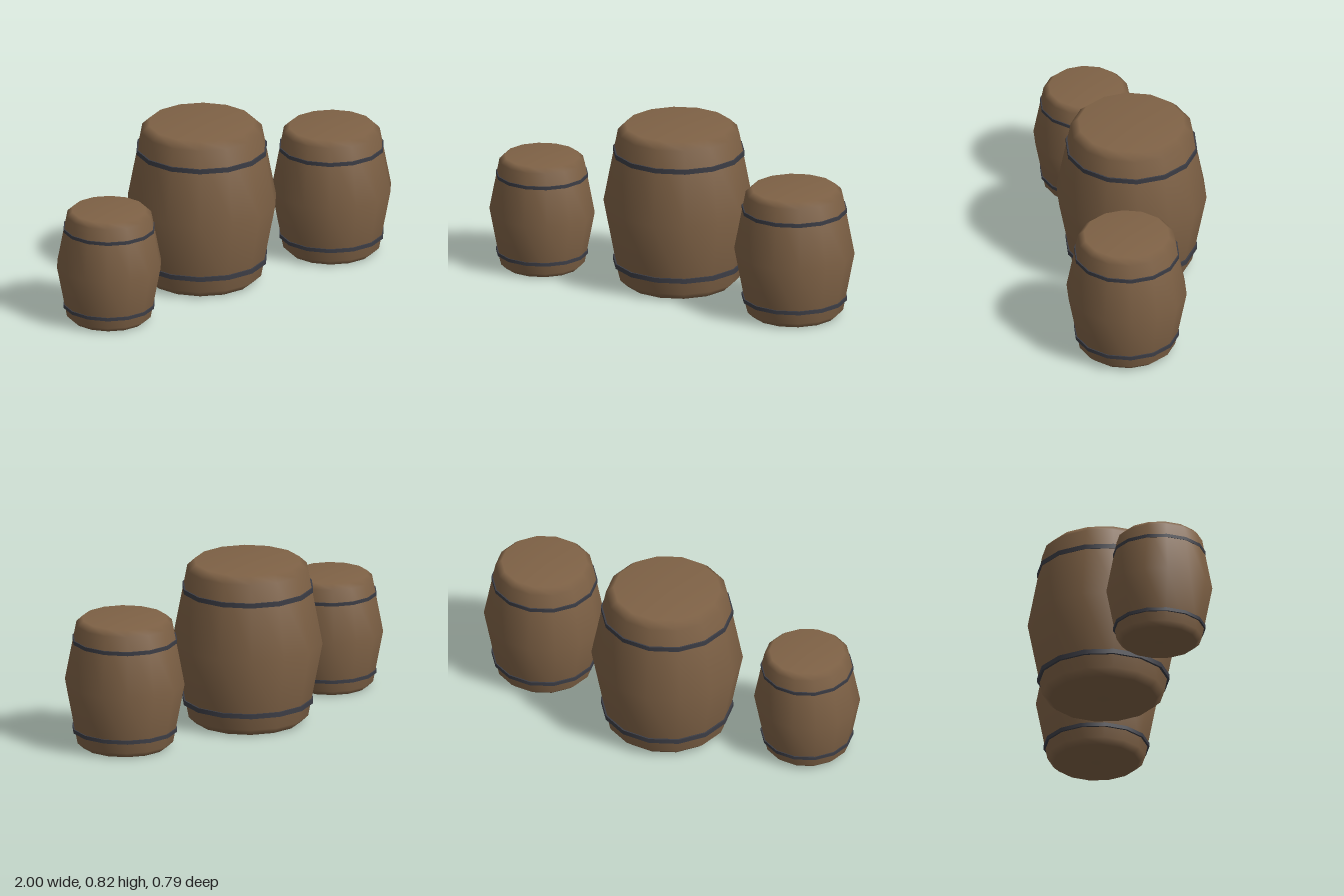
import * as THREE from 'three';

const SIDES = 14;
const HEIGHT = 0.82;

export function createModel() {
  const wood = new THREE.MeshStandardMaterial({ color: 0x7f6246 });
  wood.name = 'brown wood';
  const iron = new THREE.MeshStandardMaterial({ color: 0x3c3d45 });
  iron.name = 'dark iron';

  // Closed barrel profile, from the bottom centre to the top centre
  const profile = [
    [0, 0], [0.265, 0], [0.303, 0.035], [0.375, HEIGHT / 2],
    [0.303, HEIGHT - 0.035], [0.265, HEIGHT], [0, HEIGHT],
  ].map(([r, y]) => new THREE.Vector2(r, y));
  const bodyGeometry = new THREE.LatheGeometry(profile, SIDES, Math.PI / 2);
  const hoopGeometry = new THREE.CylinderGeometry(0.328, 0.328, 0.024, SIDES, 1, false, Math.PI / 2);

  function barrel(name, x, z, scale) {
    const group = new THREE.Group();
    group.name = name;
    const body = new THREE.Mesh(bodyGeometry, wood);
    body.name = 'barrelBody';
    group.add(body);
    // Iron hoops near both ends
    for (const [hoopName, y] of [['lowerHoop', 0.112], ['upperHoop', 0.684]]) {
      const hoop = new THREE.Mesh(hoopGeometry, iron);
      hoop.name = hoopName;
      hoop.position.y = y;
      group.add(hoop);
    }
    group.position.set(x, 0, z);
    group.scale.setScalar(scale);
    return group;
  }

  const model = new THREE.Group();
  model.name = 'barrels';
  model.add(
    barrel('largeBarrel', -0.04, -0.029, 1),
    barrel('mediumBarrel', 0.698, 0.056, 0.8),
    barrel('smallBarrel', -0.7375, 0.138, 0.7),
  );
  return model;
}
